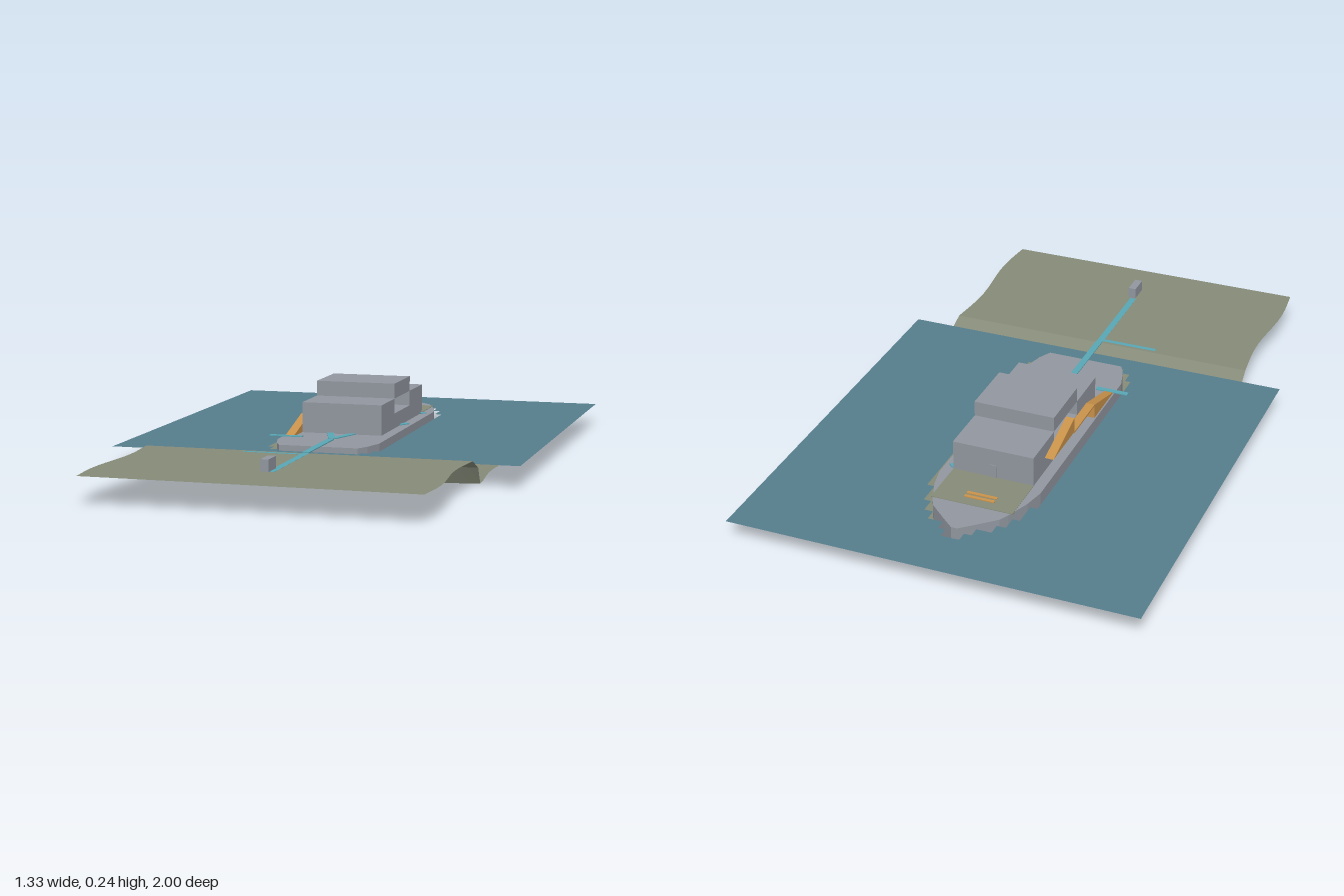
import * as THREE from 'three';

export function createModel() {
  const group = new THREE.Group();
  const mat = (name, color, side = THREE.FrontSide) =>
    Object.assign(new THREE.MeshStandardMaterial({ color, side }), { name });
  const water = mat('water blue', 0x557d8c, THREE.DoubleSide);
  const earth = mat('olive earth', 0x868b78, THREE.DoubleSide);
  const grey = mat('ship grey', 0x9297a0);
  const orange = mat('stair orange', 0xc8924a);
  const teal = mat('route teal', 0x58a6b4);

  const add = (name, geometry, material) => {
    const mesh = new THREE.Mesh(geometry, material);
    mesh.name = name;
    group.add(mesh);
    return mesh;
  };
  // Box given by its limits on each axis
  const box = (name, x0, x1, y0, y1, z0, z1, material) => {
    const m = add(name, new THREE.BoxGeometry(x1 - x0, y1 - y0, z1 - z0), material);
    m.position.set((x0 + x1) / 2, (y0 + y1) / 2, (z0 + z1) / 2);
    return m;
  };
  // Mirrored plan outline from half-outline points [x, z], laid flat
  const outline = (half) => [
    ...half.map(([x, z]) => new THREE.Vector2(x, -z)),
    ...half.slice().reverse().map(([x, z]) => new THREE.Vector2(-x, -z)),
  ];

  // Water sheet with a stepped opening around the hull
  const sea = new THREE.Shape(outline([[0.665, 0.38], [0.665, -1]]));
  sea.holes.push(new THREE.Path(outline([
    [0.135, 0.31], [0.135, 0.285], [0.165, 0.285], [0.165, 0.24], [0.185, 0.24],
    [0.185, -0.59], [0.16, -0.59], [0.16, -0.67], [0.135, -0.67], [0.135, -0.72],
    [0.105, -0.72], [0.105, -0.76], [0.055, -0.76], [0.055, -0.795], [0.03, -0.795], [0.03, -0.83],
  ])));
  add('waterSurface', new THREE.ShapeGeometry(sea).rotateX(-Math.PI / 2), water).position.y = 0.073;

  // Ground sheet: wavy sea bed, bank and flat shore
  const rows = [];
  for (let i = 0; i <= 24; i++) rows.push([-0.86 + 1.2 * i / 24, 0.006]);
  rows.push([0.37, 0.06], [0.43, 0.09]);
  for (let i = 1; i <= 12; i++) rows.push([0.43 + 0.57 * i / 12, 0.09]);
  const cols = 32;
  const ground = new THREE.PlaneGeometry(1, 1, cols, rows.length - 1);
  const p = ground.attributes.position;
  rows.forEach(([z, y], r) => {
    const half = 0.524 + 0.009 * Math.cos((z - 0.85) * Math.PI * 4);
    for (let c = 0; c <= cols; c++) {
      const x = (c / cols * 2 - 1) * half;
      const wave = y < 0.01 ? 0.004 * Math.cos((x - 0.13) * Math.PI * 2 / 0.53) : 0;
      p.setXYZ(r * (cols + 1) + c, x, y + wave, z);
    }
  });
  const flatGround = ground.toNonIndexed();
  flatGround.computeVertexNormals();
  add('ground', flatGround, earth);

  // Hull with pointed bow toward the back
  const hull = new THREE.Shape(outline([
    [0.13, 0.3], [0.15, 0.26], [0.17, 0.19], [0.17, -0.53], [0.155, -0.6],
    [0.125, -0.68], [0.11, -0.71], [0.05, -0.765], [0.01, -0.8],
  ]));
  add('hull', new THREE.ExtrudeGeometry(hull, { depth: 0.08, bevelEnabled: false })
    .rotateX(-Math.PI / 2), grey).position.y = 0.01;
  box('foredeck', -0.135, 0.135, 0.088, 0.0915, -0.67, -0.5, earth);
  for (const z of [-0.63, -0.61])
    box('hatchEdge', -0.06, 0.04, 0.09, 0.094, z - 0.006, z + 0.006, orange);

  // Deckhouse blocks, with an open passage beneath the bridge
  const W = 0.135;
  box('lowerHouse', -W, W, 0.09, 0.14, -0.5, 0.035, grey);
  box('frontCabin', -W, W, 0.14, 0.19, -0.13, 0.035, grey);
  box('rearCabin', -W, W, 0.14, 0.19, -0.5, -0.33, grey);
  box('bridge', -W, W, 0.19, 0.24, -0.33, -0.13, grey);
  for (const s of [-1, 1])
    box('door', s * 0.04 - 0.012, s * 0.04 + 0.012, 0.09, 0.135, 0.03, 0.037, grey);
  box('rearDoor', -0.012, 0.012, 0.09, 0.135, -0.502, -0.495, grey);

  // Two stair flights along the right side
  const flight = (name, zLow, zHigh, y) => {
    const s = new THREE.Shape([
      new THREE.Vector2(-zLow, y), new THREE.Vector2(-zHigh, y), new THREE.Vector2(-zHigh, y + 0.05),
    ]);
    const g = new THREE.ExtrudeGeometry(s, { depth: 0.029, bevelEnabled: false }).rotateY(Math.PI / 2);
    add(name, g, orange).position.x = -0.165;
  };
  flight('lowerStair', 0.13, -0.05, 0.09);
  box('stairLanding', -0.165, -0.136, 0.134, 0.14, -0.23, -0.05, orange);
  flight('upperStair', -0.41, -0.23, 0.14);

  // Flat route strips between two plan points
  const strip = (name, x0, z0, x1, z1, y = 0.092, w = 0.022) => {
    const m = add(name, new THREE.BoxGeometry(w, 0.003, Math.hypot(x1 - x0, z1 - z0)), teal);
    m.position.set((x0 + x1) / 2, y, (z0 + z1) / 2);
    m.rotation.y = Math.atan2(x1 - x0, z1 - z0);
  };
  for (const s of [-1, 1]) strip('doorRoute', s * 0.04, 0.03, s * 0.003, 0.14);
  strip('mainRoute', 0, 0.16, 0, 0.43);
  strip('shoreRoute', 0, 0.43, 0, 0.78, 0.0888);
  strip('shoreBranch', 0, 0.45, -0.2, 0.45, 0.0888, 0.016);
  strip('stairRoute', -0.215, 0.13, -0.105, 0.13, 0.092, 0.018);
  strip('sideMark', 0.13, -0.2, 0.152, -0.235);
  strip('sideMark', 0.135, -0.49, 0.148, -0.475);

  // Small block above the shore
  box('shoreBlock', -0.013, 0.013, 0.1, 0.137, 0.765, 0.835, grey);

  return group;
}
